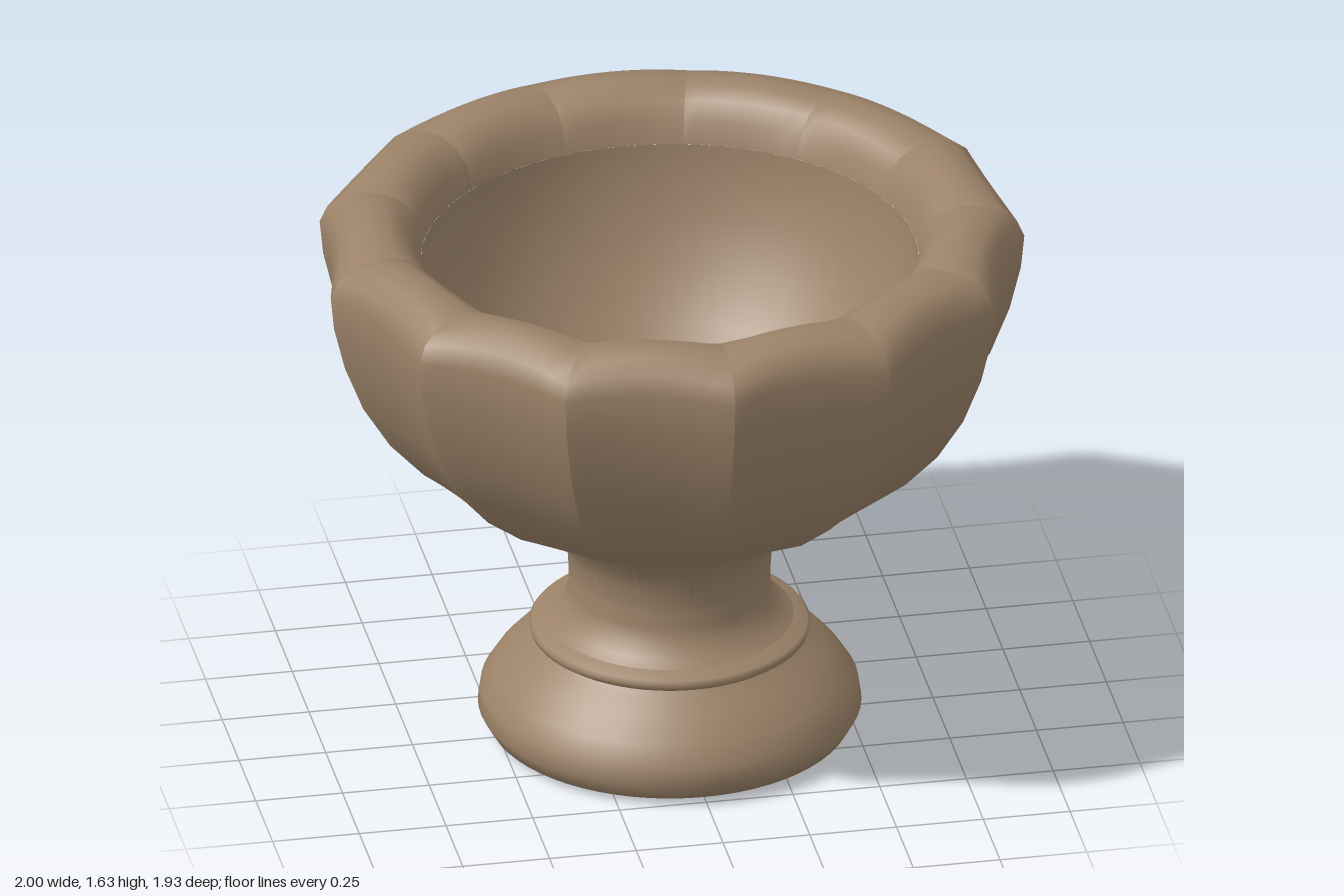
import * as THREE from 'three';

const RIBS = 13;

// Outer bowl rows: rib radius, height, scallop strength, lift between the ribs
const bowlRows = [
  [0.286, 0.50, 0, 0], [0.29, 0.56, 0, 0], [0.315, 0.62, 0, 0], [0.37, 0.69, 0.1, 0],
  [0.46, 0.74, 0.3, 0], [0.60, 0.80, 0.7, 0], [0.73, 0.90, 1, 0], [0.83, 1.01, 1, 0],
  [0.91, 1.14, 1, 0], [0.965, 1.28, 1, 0], [0.997, 1.41, 1, 0], [1.007, 1.51, 1, 0.015],
  [0.985, 1.56, 1, 0.025], [0.94, 1.595, 0.9, 0.025], [0.88, 1.612, 0.8, 0.02],
  [0.82, 1.612, 0.6, 0.015], [0.765, 1.59, 0.3, 0.008], [0.725, 1.545, 0.1, 0], [0.705, 1.48, 0, 0],
];

// One concave panel between two ribs; separate panels keep the ribs sharp
function panelGeometry(index) {
  const cols = 10, pos = [], idx = [];
  for (const [r, y, w, lift] of bowlRows) {
    const squash = 1 - 0.027 * THREE.MathUtils.smoothstep(y, 0.65, 0.9);
    for (let c = 0; c <= cols; c++) {
      const t = (c / cols) * 2 - 1;
      const a = ((index + c / cols) / RIBS) * Math.PI * 2;
      const hollow = 1 - t * t;
      const rad = r * (1 - 0.047 * w * hollow);
      pos.push(rad * Math.sin(a), y + lift * hollow, rad * Math.cos(a) * squash);
    }
  }
  const n = cols + 1;
  for (let j = 0; j < bowlRows.length - 1; j++) {
    for (let c = 0; c < cols; c++) {
      const p = j * n + c;
      idx.push(p, p + 1, p + n + 1, p, p + n + 1, p + n);
    }
  }
  const g = new THREE.BufferGeometry();
  g.setAttribute('position', new THREE.Float32BufferAttribute(pos, 3));
  g.setIndex(idx);
  g.computeVertexNormals();
  return g;
}

const lathe = (points) =>
  new THREE.LatheGeometry(points.map(([r, y]) => new THREE.Vector2(r, y)), 64);

export function createModel() {
  const model = new THREE.Group();
  model.name = 'stoneUrn';
  const stone = new THREE.MeshStandardMaterial({ color: 0x9c8369 });
  stone.name = 'stone';

  const add = (name, geometry, parent = model) => {
    const mesh = new THREE.Mesh(geometry, stone);
    mesh.name = name;
    parent.add(mesh);
    return mesh;
  };

  // Rounded foot, rolled under to a shallow recess
  add('foot', lathe([
    [0.33, 0.07], [0.35, 0.03], [0.385, 0.008], [0.43, 0], [0.515, 0.02], [0.543, 0.07],
    [0.535, 0.125], [0.50, 0.18], [0.45, 0.235], [0.40, 0.275], [0.38, 0.295],
  ]));
  const recess = add('footRecess', new THREE.CircleGeometry(0.332, 64));
  recess.rotation.x = Math.PI / 2;
  recess.position.y = 0.07;

  // Ring and neck
  add('ring', lathe([[0.38, 0.293], [0.394, 0.303], [0.398, 0.318], [0.39, 0.328], [0.35, 0.345]]));
  add('neck', lathe([[0.352, 0.344], [0.325, 0.365], [0.298, 0.40], [0.286, 0.44], [0.286, 0.505]]));

  // Scalloped bowl and rim
  const bowl = new THREE.Group();
  bowl.name = 'bowl';
  model.add(bowl);
  for (let i = 0; i < RIBS; i++) add('bowlPanel', panelGeometry(i), bowl);

  // Round hollow, narrowing to a small flat drain
  const hollow = add('bowlInside', lathe([
    [0.705, 1.48], [0.70, 1.40], [0.67, 1.27], [0.61, 1.13], [0.52, 1.0], [0.41, 0.89],
    [0.30, 0.81], [0.21, 0.755], [0.15, 0.70], [0.115, 0.64], [0.095, 0.58],
  ]), bowl);
  hollow.scale.z = 0.973;
  const drain = add('drain', new THREE.CircleGeometry(0.096, 48), bowl);
  drain.rotation.x = -Math.PI / 2;
  drain.position.y = 0.58;

  for (const part of model.children) {
    part.position.x -= 0.007;
    part.position.z -= 0.01;
  }
  return model;
}
